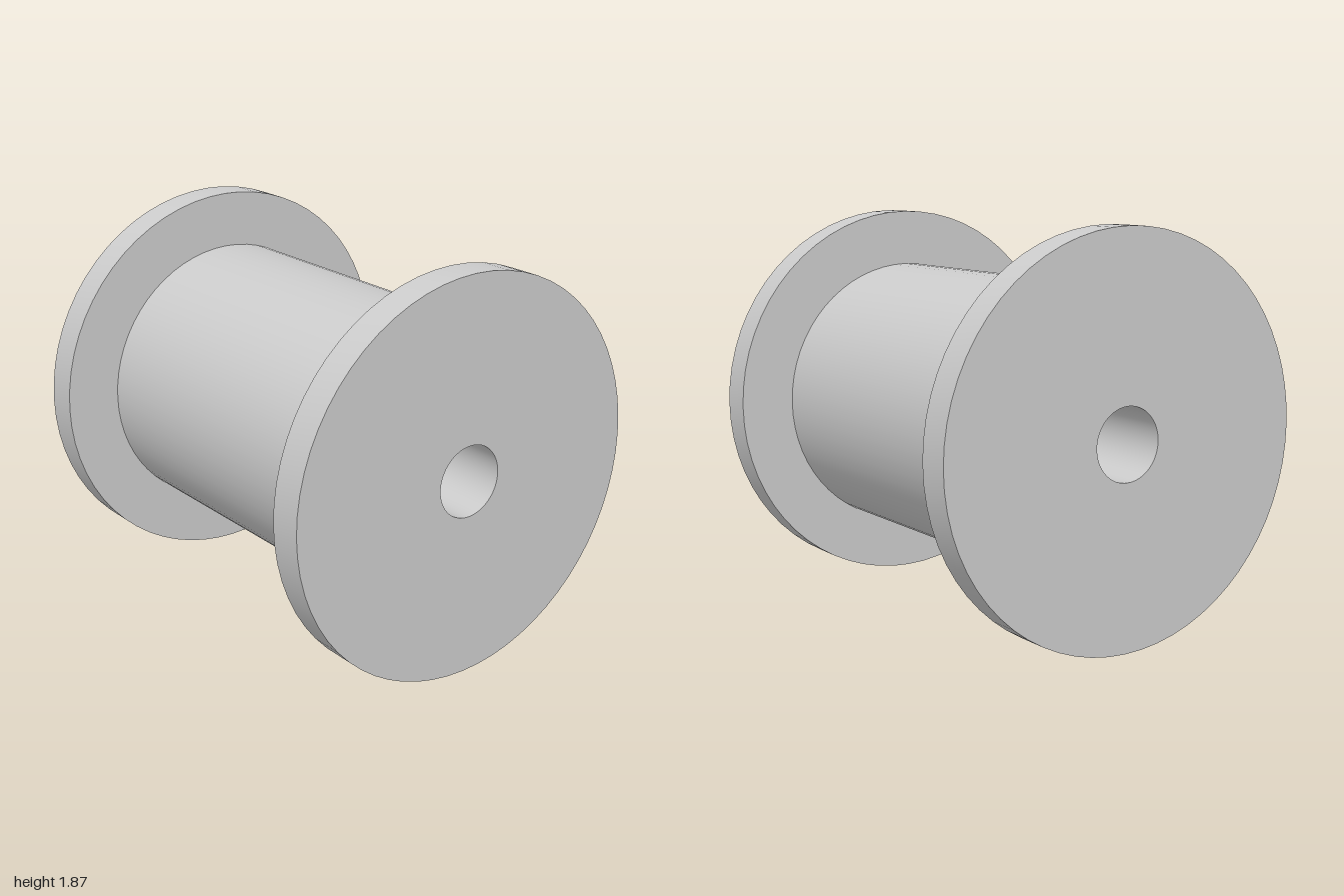
import * as THREE from 'three';
import { toCreasedNormals } from 'three/addons/utils/BufferGeometryUtils.js';

const FLANGE_R = 0.933, CORE_R = 0.665, BORE_R = 0.167;
const HALF = 1, INNER = 0.842; // end faces and inner flange faces along the axis

export function createModel() {
  const spool = new THREE.Group();
  spool.name = 'spool';
  const material = new THREE.MeshStandardMaterial({ color: 0xcccccc });

  // Revolves a [radius, z] profile about the z axis, keeping corners sharp
  const turned = (name, profile) => {
    const points = profile.map(([r, z]) => new THREE.Vector2(r, z));
    const geometry = toCreasedNormals(new THREE.LatheGeometry(points, 64).rotateX(Math.PI / 2), 0.5);
    const mesh = new THREE.Mesh(geometry, material);
    mesh.name = name;
    mesh.position.y = FLANGE_R;
    spool.add(mesh);
    return mesh;
  };

  // End flanges: outer face, rim and inner face; the front one is turned around
  const flange = [[BORE_R, -HALF], [FLANGE_R, -HALF], [FLANGE_R, -INNER], [CORE_R, -INNER]];
  turned('backFlange', flange);
  turned('frontFlange', flange).rotation.y = Math.PI;

  // Barrel between the flanges
  turned('barrel', [[CORE_R, -INNER], [CORE_R, INNER]]);

  // Through hole, facing inward
  turned('bore', [[BORE_R, HALF], [BORE_R, -HALF]]);

  return spool;
}
